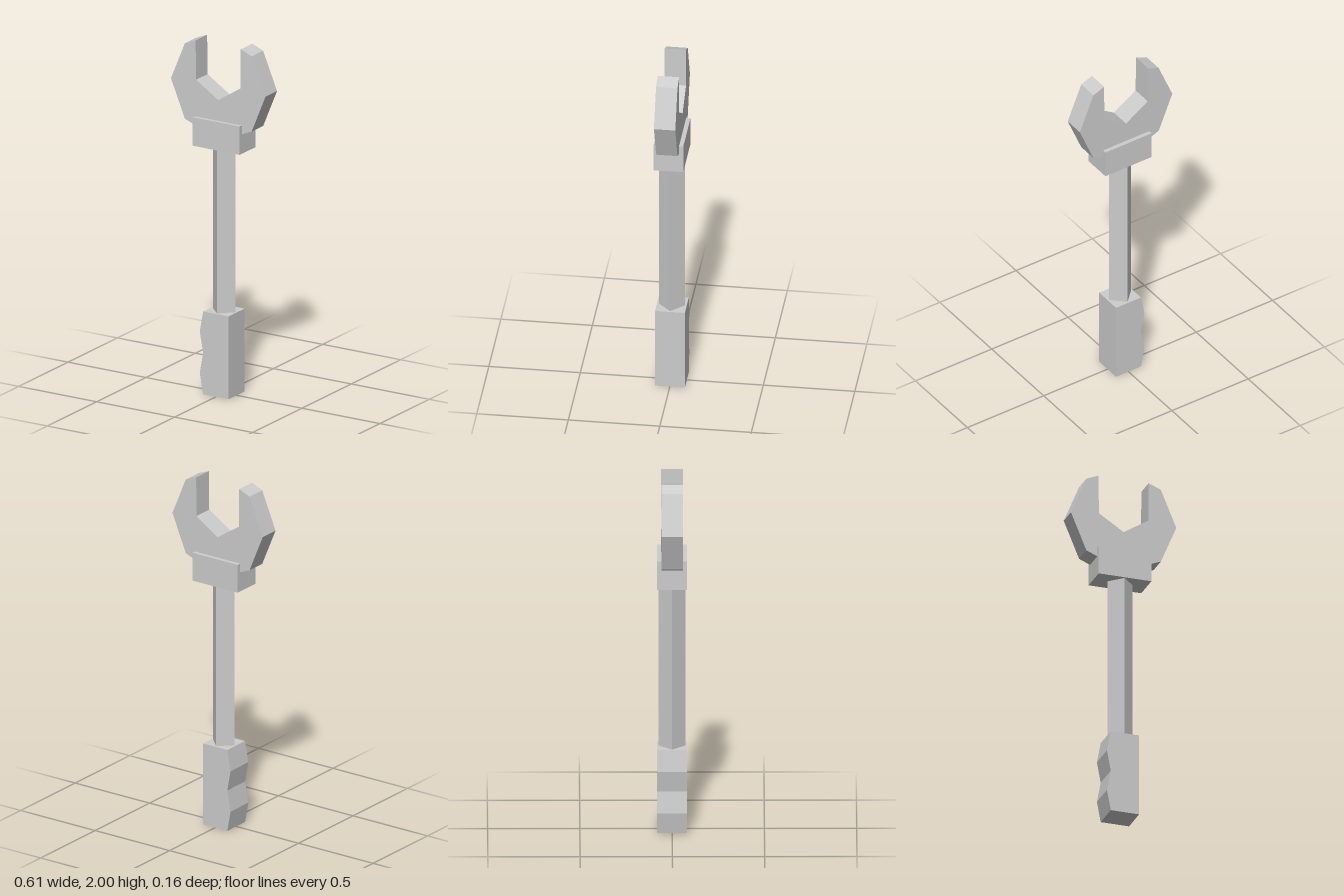
import * as THREE from 'three';

export function createModel() {
  const group = new THREE.Group();
  group.name = 'wrench';
  const steel = new THREE.MeshStandardMaterial({ color: 0xcccccc, flatShading: true });
  steel.name = 'steel grey';

  const add = (name, geometry, x = 0, y = 0, z = 0) => {
    const mesh = new THREE.Mesh(geometry, steel);
    mesh.name = name;
    mesh.position.set(x, y, z);
    group.add(mesh);
  };
  // Flat outline in x and y, given a thickness along z
  const plate = (points, depth) => new THREE.ExtrudeGeometry(
    new THREE.Shape(points.map(([x, y]) => new THREE.Vector2(x, y))),
    { depth, bevelEnabled: false });

  // Grip with two finger bulges on one side
  add('grip', plate([
    [-0.082, 0], [0.081, 0], [0.081, 0.472], [-0.082, 0.472],
    [-0.104, 0.354], [-0.082, 0.236], [-0.104, 0.118],
  ], 0.163), 0, 0, -0.082);

  // Four-sided shaft with its edges facing front, back and sides
  add('shaft', new THREE.CylinderGeometry(0.072, 0.072, 0.96, 4), 0, 0.94, -0.001);

  // Collar between shaft and jaw
  add('collar', new THREE.BoxGeometry(0.303, 0.162, 0.163), 0, 1.486, -0.001);

  // Octagonal head with an open, V-bottomed jaw
  const outer = [];
  for (let i = 3; i <= 9; i++) {
    const a = i * Math.PI / 4;
    outer.push([0.303 * Math.cos(a), 1.757 + 0.303 * Math.sin(a)]);
  }
  add('head', plate([
    [-0.145, 2], ...outer, [0.144, 2],
    [0.142, 1.776], [0, 1.685], [-0.142, 1.776],
  ], 0.117), 0, 0, -0.059);

  return group;
}
